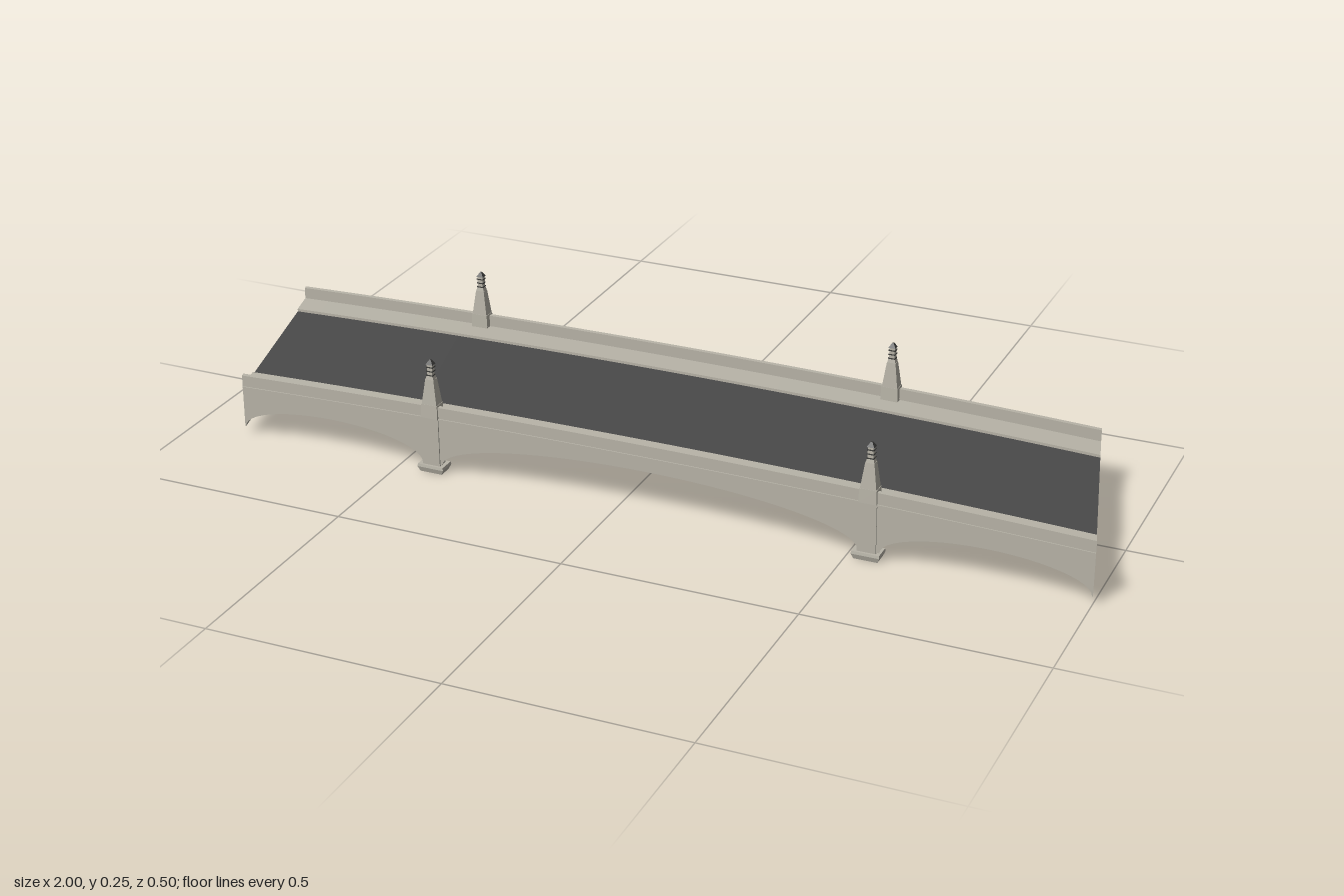
import * as THREE from 'three';

const L = 0.9375, SKEW = 0.26, PIER = 0.482;
const stone = new THREE.MeshStandardMaterial({ color: 0xb8b4a8 });
stone.name = 'stone';
const asphalt = new THREE.MeshStandardMaterial({ color: 0x4a4a4a });
asphalt.name = 'asphalt';
const darkMetal = new THREE.MeshStandardMaterial({ color: 0x3c3c3a });
darkMetal.name = 'dark metal';

const shear = new THREE.Matrix4().set(1, 0, SKEW, 0, 0, 1, 0, 0, 0, 0, 1, 0, 0, 0, 0, 1);
const rise = (u) => 0.017 * (1 - (u / L) ** 2); // gentle hump of the deck

function add(parent, name, geometry, material) {
  const mesh = new THREE.Mesh(geometry, material);
  mesh.name = name;
  parent.add(mesh);
  return mesh;
}

// Side elevation extruded across the bridge and skewed in plan
function skewExtrude(points, z0, z1) {
  const geo = new THREE.ExtrudeGeometry(new THREE.Shape(points), { depth: z1 - z0, bevelEnabled: false });
  geo.translate(0, 0, z0);
  return geo.applyMatrix4(shear);
}

// Points along the humped deck line at a given end height
function deckLine(y, n = 32) {
  return Array.from({ length: n + 1 }, (_, i) => {
    const u = -L + (2 * L * i) / n;
    return new THREE.Vector2(u, y + rise(u));
  });
}

const strip = (low, high, z0, z1) => skewExtrude([...deckLine(low), ...deckLine(high).reverse()], z0, z1);

// Half-ellipse soffit from u0 to u1
function arch(u0, u1, base, crown, n) {
  return Array.from({ length: n + 1 }, (_, i) => {
    const a = Math.PI * (1 - i / n);
    return new THREE.Vector2((u0 + u1) / 2 + ((u1 - u0) / 2) * Math.cos(a), base + (crown - base) * Math.sin(a));
  });
}

// Rectangular frustum standing on y0
function frustum(w0, d0, w1, d1, y0, y1) {
  const geo = new THREE.BoxGeometry(1, y1 - y0, 1).toNonIndexed();
  const p = geo.attributes.position;
  for (let i = 0; i < p.count; i++) {
    const top = p.getY(i) > 0;
    p.setX(i, p.getX(i) * (top ? w1 : w0));
    p.setZ(i, p.getZ(i) * (top ? d1 : d0));
  }
  geo.translate(0, (y0 + y1) / 2, 0);
  geo.computeVertexNormals();
  return geo;
}

function createPylon() {
  const g = new THREE.Group();
  g.name = 'pylon';
  add(g, 'pilaster', frustum(0.04, 0.026, 0.038, 0.026, 0.016, 0.13), stone);
  add(g, 'pylonPlinth', frustum(0.038, 0.03, 0.036, 0.027, 0.125, 0.155), stone);
  add(g, 'pylonShaft', frustum(0.034, 0.026, 0.019, 0.016, 0.155, 0.21), stone);
  add(g, 'pylonNeck', frustum(0.018, 0.015, 0.014, 0.012, 0.21, 0.218), stone);
  // Banded lantern
  for (let i = 0; i < 3; i++) {
    const y = 0.218 + i * 0.009;
    add(g, 'lanternBand', frustum(0.015, 0.014, 0.015, 0.014, y, y + 0.002), darkMetal);
    add(g, 'lanternBlock', frustum(0.012, 0.011, 0.012, 0.011, y + 0.002, y + 0.009), stone);
  }
  add(g, 'lanternCap', frustum(0.016, 0.015, 0.003, 0.003, 0.243, 0.253), darkMetal);
  // Pier footing with a chamfered underside
  const footing = new THREE.Group();
  footing.name = 'pierFooting';
  add(footing, 'footingBase', frustum(0.05, 0.031, 0.06, 0.038, 0, 0.011), stone);
  add(footing, 'footingCap', frustum(0.06, 0.038, 0.058, 0.036, 0.011, 0.017), stone);
  g.add(footing);
  return g;
}

export function createModel() {
  const bridge = new THREE.Group();
  bridge.name = 'archBridge';

  // Solid body with three arches cut from below
  const outline = [
    ...arch(-L + 0.002, -PIER - 0.024, 0.019, 0.075, 24),
    ...arch(-PIER + 0.022, PIER - 0.022, 0.019, 0.097, 40),
    ...arch(PIER + 0.024, L - 0.002, 0.019, 0.075, 24),
    new THREE.Vector2(L, 0.019),
    ...deckLine(0.104).reverse(),
    new THREE.Vector2(-L, 0.019),
  ];
  add(bridge, 'archedBody', skewExtrude(outline, -0.242, 0.242), stone);

  // Roadway
  add(bridge, 'roadway', strip(0.104, 0.107, -0.17, 0.17), asphalt);

  // Pavements, parapets and string courses on both sides
  for (const s of [-1, 1]) {
    const side = (name, lo, hi, a, b) =>
      add(bridge, name, strip(lo, hi, Math.min(s * a, s * b), Math.max(s * a, s * b)), stone);
    side('pavement', 0.104, 0.113, 0.17, 0.232);
    side('parapet', 0.104, 0.138, 0.232, 0.242);
    side('stringCourse', 0.109, 0.113, 0.242, 0.2445);

    for (const u of [-PIER, PIER]) {
      const pylon = createPylon();
      const z = s * 0.232;
      pylon.position.set(u + SKEW * z, 0, z);
      bridge.add(pylon);
    }
  }
  return bridge;
}
